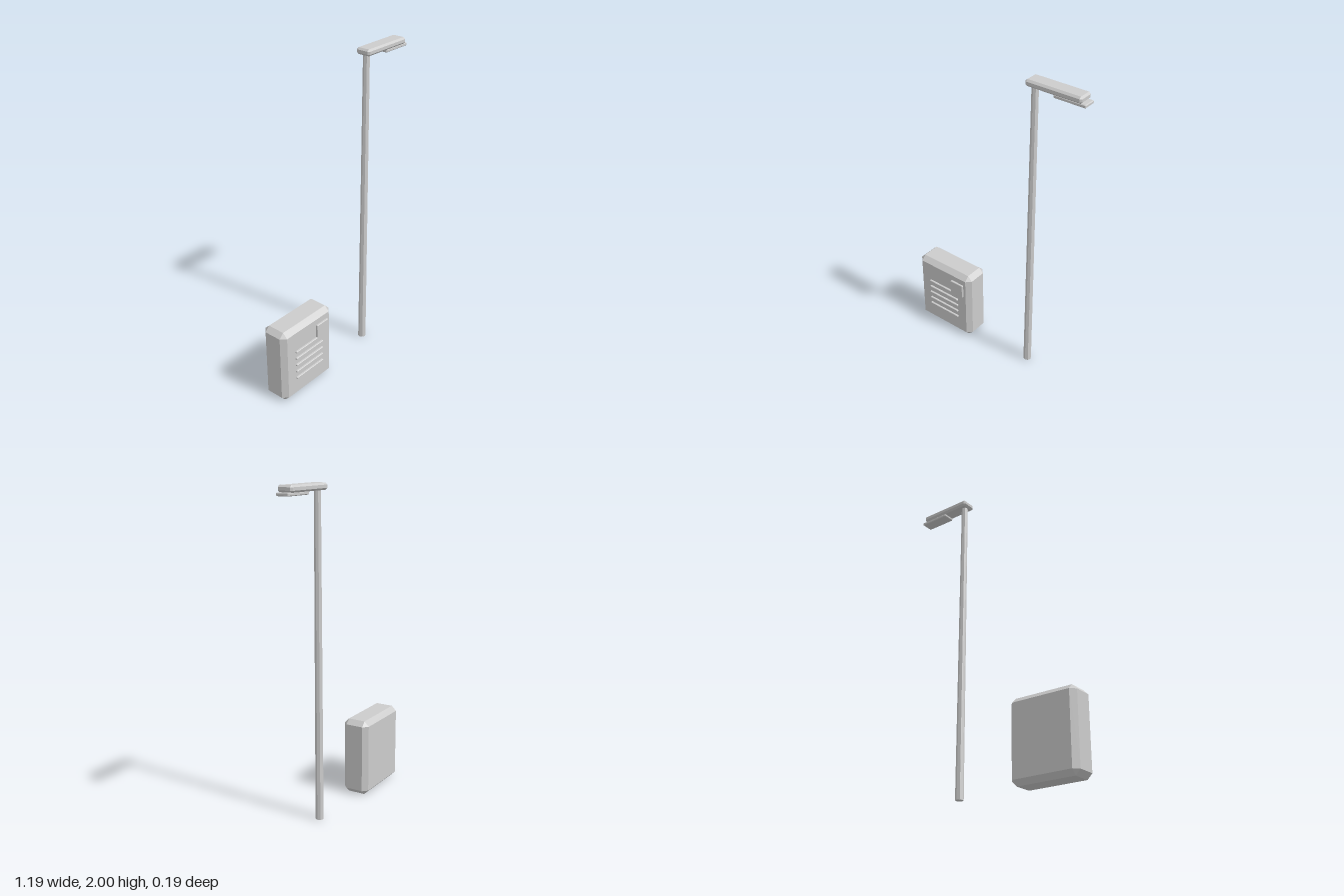
import * as THREE from 'three';
import { ConvexGeometry } from 'three/addons/geometries/ConvexGeometry.js';

const grey = new THREE.MeshStandardMaterial({ color: 0xcccccc });
grey.name = 'light grey';

// Box with every edge cut at 45 degrees, given by its limits on each axis
function chamferedBox(name, [x0, x1], [y0, y1], [z0, z1], cut) {
  const half = [(x1 - x0) / 2, (y1 - y0) / 2, (z1 - z0) / 2];
  const points = [];
  for (const sx of [-1, 1]) for (const sy of [-1, 1]) for (const sz of [-1, 1]) {
    for (let axis = 0; axis < 3; axis++) {
      const [x, y, z] = half.map((h, i) => (i === axis ? h : h - cut));
      points.push(new THREE.Vector3(sx * x, sy * y, sz * z));
    }
  }
  const mesh = new THREE.Mesh(new ConvexGeometry(points), grey);
  mesh.name = name;
  mesh.position.set((x0 + x1) / 2, (y0 + y1) / 2, (z0 + z1) / 2);
  return mesh;
}

export function createModel() {
  const model = new THREE.Group();
  model.name = 'streetLampAndCabinet';
  const midZ = -0.006;

  // Utility cabinet with vent slats and a notice plate on its front
  const cabinet = new THREE.Group();
  cabinet.name = 'cabinet';
  cabinet.add(chamferedBox('cabinetBody', [-0.594, -0.16], [0, 0.497], [-0.094, 0.082], 0.031));
  for (let i = 0; i < 5; i++) {
    const y = 0.141 + i * 0.048;
    cabinet.add(chamferedBox('ventSlat', [-0.496, -0.257], [y - 0.007, y + 0.007], [0.078, 0.094], 0.003));
  }
  cabinet.add(chamferedBox('noticePlate', [-0.309, -0.209], [0.33, 0.428], [0.078, 0.094], 0.003));
  model.add(cabinet);

  // Lamp: tapered pole, arm housing and light panel below it
  const lamp = new THREE.Group();
  lamp.name = 'streetLamp';
  const poleGeometry = new THREE.CylinderGeometry(0.02, 0.025, 1.97, 8).toNonIndexed();
  poleGeometry.computeVertexNormals();
  const pole = new THREE.Mesh(poleGeometry, grey);
  pole.name = 'pole';
  pole.position.set(0.254, 0.985, midZ);
  lamp.add(pole);
  lamp.add(chamferedBox('lampHousing', [0.217, 0.57], [1.96, 2], [midZ - 0.048, midZ + 0.048], 0.011));
  lamp.add(chamferedBox('lightPanel', [0.393, 0.592], [1.943, 1.962], [midZ - 0.039, midZ + 0.039], 0.004));
  model.add(lamp);

  return model;
}
